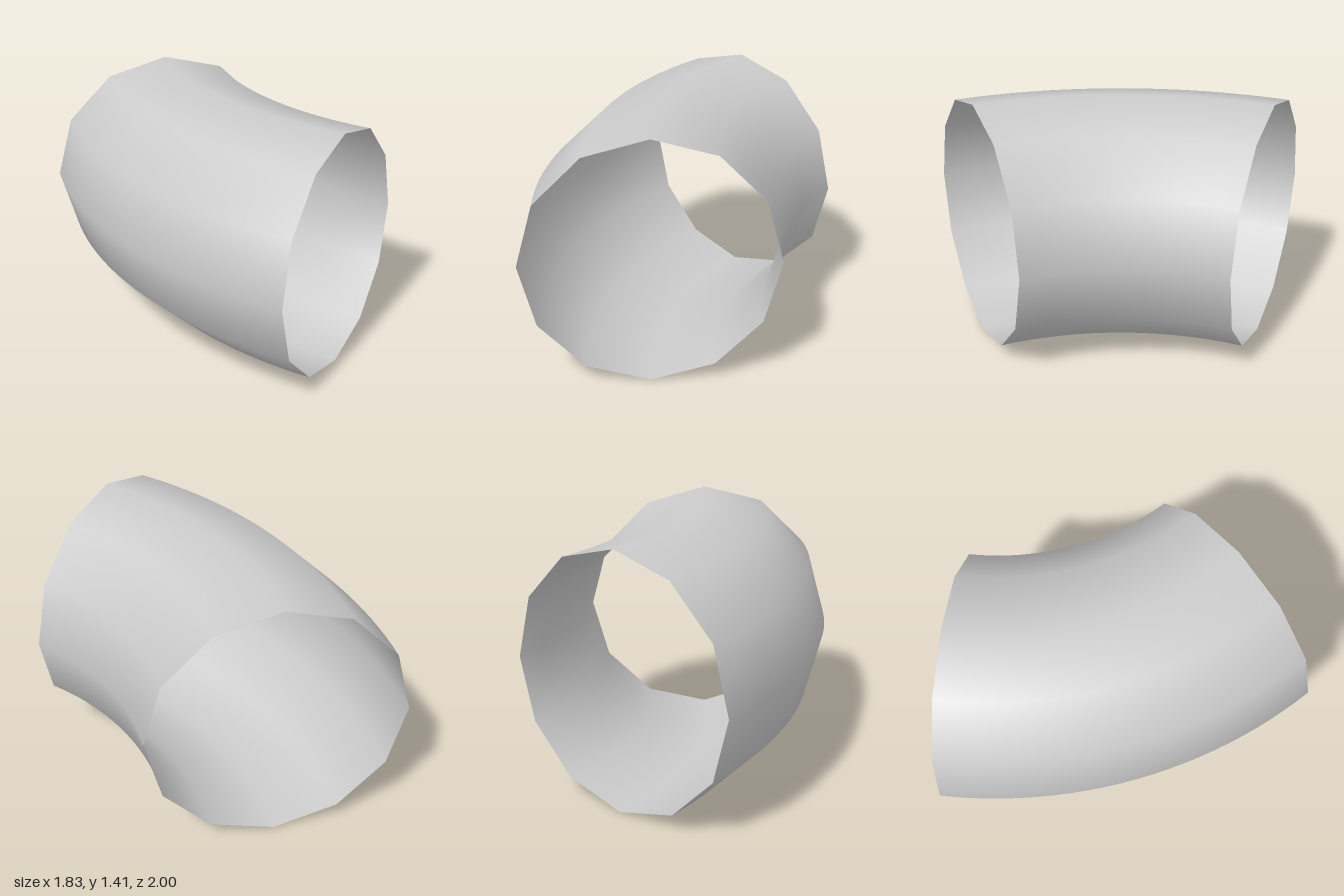
import * as THREE from 'three';

export function createModel() {
  const group = new THREE.Group();
  group.name = 'pipeElbow';

  const tubeRadius = Math.SQRT1_2;
  const bendRadius = 3 * tubeRadius;
  const sides = 12;
  const bendSteps = 24;

  // Open 45 degree bend, laid flat, running from the back end to the front right
  const geometry = new THREE.TorusGeometry(bendRadius, tubeRadius, sides, bendSteps, Math.PI / 4);
  geometry.rotateX(Math.PI / 2);
  geometry.rotateY(-Math.PI * 0.75);
  geometry.translate(0.5 + Math.SQRT2, tubeRadius, -1);

  // Centre the bend across x
  geometry.computeBoundingBox();
  const { min, max } = geometry.boundingBox;
  geometry.translate(-(min.x + max.x) / 2, 0, 0);

  const material = new THREE.MeshStandardMaterial({ color: 0xcccccc, side: THREE.DoubleSide });
  const bend = new THREE.Mesh(geometry, material);
  bend.name = 'bentPipe';
  group.add(bend);

  return group;
}
